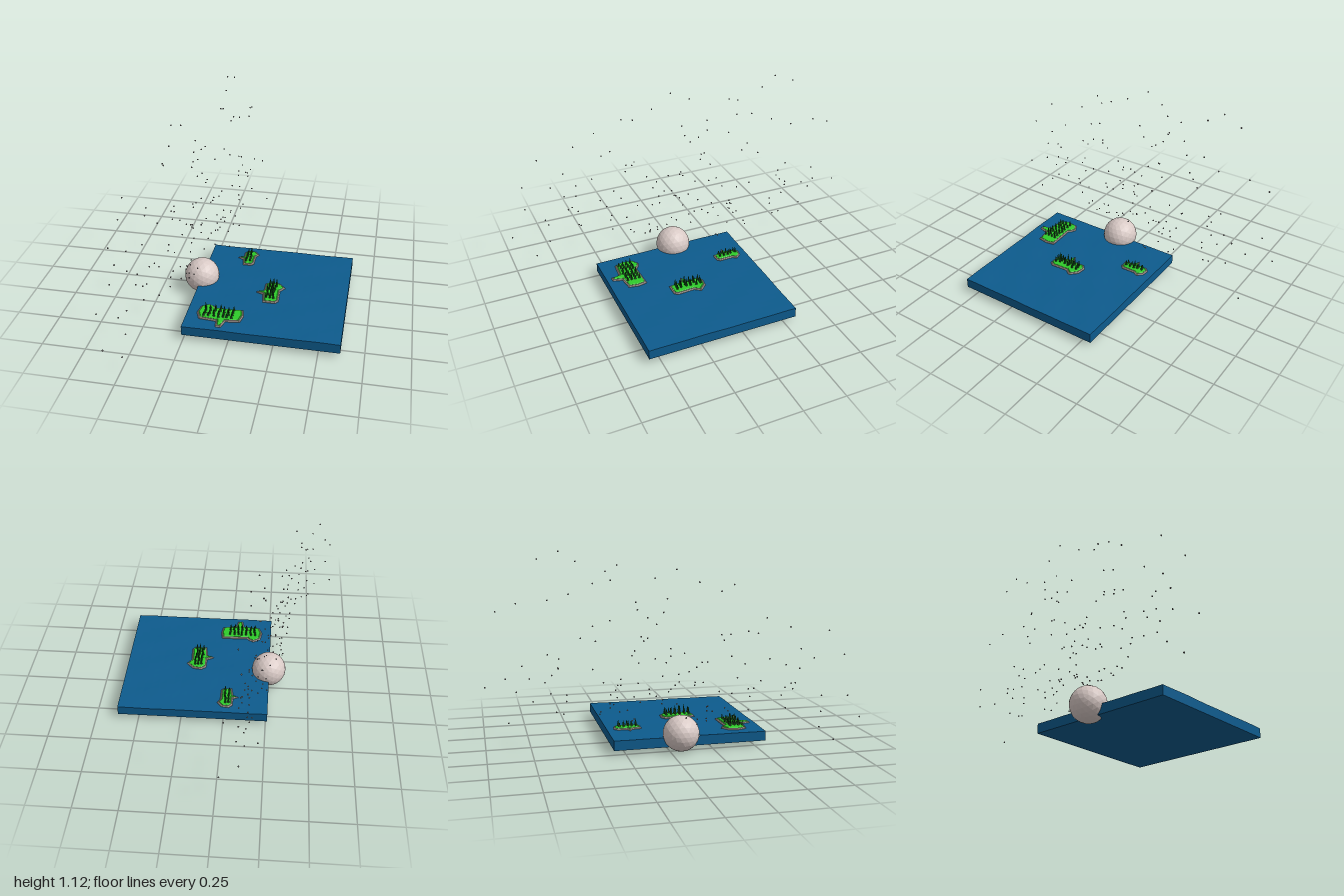
import * as THREE from 'three';

const flat = (color) => new THREE.MeshStandardMaterial({ color, flatShading: true });
const WATER = flat(0x0d5b8d), MOON = flat(0xd8c9c5), SAND = flat(0x9a8d88);
const GRASS = flat(0x2ecc2a), LEAF = flat(0x0d5216), BARK = flat(0x4a3020), STAR = flat(0x8a8585);

function add(parent, name, geometry, material, x = 0, y = 0, z = 0) {
  const mesh = new THREE.Mesh(geometry, material);
  mesh.name = name;
  mesh.position.set(x, y, z);
  parent.add(mesh);
  return mesh;
}

function seeded(seed) {
  return () => {
    seed = (seed * 16807) % 2147483647;
    return seed / 2147483647;
  };
}

// Square slab of sea with a faintly rippled top
function waterGeometry() {
  const g = new THREE.BoxGeometry(0.88, 0.056, 0.88, 20, 1, 20);
  const p = g.attributes.position;
  for (let i = 0; i < p.count; i++) {
    if (p.getY(i) < 0) continue;
    const x = p.getX(i), z = p.getZ(i);
    p.setY(i, 0.028 + 0.0015 * Math.sin(x * 17 + z * 6) * Math.cos(z * 19 - x * 5));
  }
  g.computeVertexNormals();
  return g;
}

// Sloped plate from an [x, z] outline, pulled in by inset
function plate(outline, height, inset, slope) {
  const shape = new THREE.Shape(outline.map(([x, z]) => new THREE.Vector2(x, -z)));
  const g = new THREE.ExtrudeGeometry(shape, {
    depth: 0.004, bevelEnabled: true, bevelSegments: 1,
    bevelThickness: height, bevelSize: slope, bevelOffset: -inset - slope,
  });
  return g.rotateX(-Math.PI / 2);
}

// Conifer: trunk and three stacked cones
const TRUNK = new THREE.CylinderGeometry(0.0015, 0.002, 0.012, 5);
const TIERS = [0, 1, 2].map((i) => new THREE.ConeGeometry(0.0085 - i * 0.002, 0.018, 6));
function makeTree(parent, x, z, scale) {
  const tree = new THREE.Group();
  tree.name = 'tree';
  add(tree, 'trunk', TRUNK, BARK, 0, 0.006, 0);
  TIERS.forEach((g, i) => add(tree, 'foliage', g, LEAF, 0, 0.016 + i * 0.01, 0));
  tree.position.set(x, 0.093, z);
  tree.scale.set(0.9, scale, 0.9);
  parent.add(tree);
}

// Islands: coast outline and a grid of trees (x range, z range, columns, rows, height)
const ISLANDS = [
  {
    outline: [[-0.2, 0.42], [-0.19, 0.36], [-0.15, 0.335], [-0.12, 0.35], [-0.11, 0.365], [0.05, 0.36], [0.06, 0.41],
      [0.05, 0.465], [-0.03, 0.475], [-0.045, 0.53], [-0.07, 0.53], [-0.08, 0.48], [-0.18, 0.47]],
    x: [-0.155, 0.005], z: [0.385, 0.455], cols: 7, rows: 4, height: 0.8,
  },
  {
    outline: [[0.095, 0.16], [0.135, 0.14], [0.135, 0.07], [0.16, 0.05], [0.21, 0.055], [0.25, 0.095], [0.225, 0.13],
      [0.23, 0.23], [0.215, 0.25], [0.145, 0.25], [0.135, 0.175]],
    x: [0.162, 0.198], z: [0.08, 0.225], cols: 3, rows: 6, height: 1.25,
  },
  {
    outline: [[-0.08, -0.19], [-0.05, -0.2], [-0.05, -0.255], [-0.03, -0.275], [0.01, -0.27], [0.035, -0.24],
      [0.02, -0.215], [0.02, -0.135], [0.005, -0.12], [-0.04, -0.12], [-0.05, -0.175]],
    x: [-0.025, -0.008], z: [-0.245, -0.145], cols: 2, rows: 5, height: 0.85,
  },
];

// Outer stars [x, y, z] that frame the sky
const OUTER_STARS = [
  [-0.23, 1.12, -0.6], [-0.43, 1.03, -0.01], [-0.22, 1.065, -0.51], [-0.21, 1.08, -0.71], [-0.19, 1.04, -0.28],
  [-0.22, 1.01, -0.35], [-0.405, 0.985, -0.12], [-0.385, 0.94, 0.32], [-0.415, 0.91, 0.24], [-0.15, 0.955, -0.31],
  [-0.155, 0.94, -0.41], [-0.145, 0.885, -0.54], [-0.13, 0.84, -0.82], [-0.105, 0.85, -0.65], [-0.14, 0.8, -0.93],
  [-0.31, 0.865, -0.03], [-0.41, 0.96, 0.12], [-0.345, 0.855, -0.21], [-0.59, 0.785, 0.43], [-0.57, 0.73, 0.57],
  [-0.545, 0.7, 0.8], [-0.505, 0.6, 0.66], [-0.51, 0.56, 0.91], [-0.475, 0.54, 0.75], [-0.445, 0.48, 0.68],
  [-0.616, 0.44, 0.56], [-0.605, 0.355, 0.89], [-0.475, 0.33, 0.8], [-0.545, 0.215, 0.996], [-0.535, 0.255, 0.77],
  [-0.495, 0.08, 0.87], [-0.5, 0.16, 0.78], [-0.13, 0.39, -0.996], [-0.22, 0.45, -0.89], [-0.04, 0.48, -0.79],
  [-0.15, 0.36, -0.83], [-0.02, 0.155, -0.87],
];

export function createModel() {
  const model = new THREE.Group();
  model.name = 'seaAtNight';

  add(model, 'sea', waterGeometry(), WATER, 0.18, 0.055, 0.123);
  add(model, 'moon', new THREE.IcosahedronGeometry(0.103, 3), MOON, -0.257, 0.103, 0.063);

  const rand = seeded(41);
  for (const { outline, x, z, cols, rows, height } of ISLANDS) {
    const island = new THREE.Group();
    island.name = 'island';
    add(island, 'shore', plate(outline, 0.005, -0.003, 0.006), SAND, 0, 0.082, 0);
    add(island, 'grass', plate(outline, 0.003, 0.007, 0.004), GRASS, 0, 0.0885, 0);
    for (let i = 0; i < cols; i++) {
      for (let j = 0; j < rows; j++) {
        const tx = THREE.MathUtils.lerp(x[0], x[1], i / (cols - 1)) + (rand() - 0.5) * 0.008;
        const tz = THREE.MathUtils.lerp(z[0], z[1], j / (rows - 1)) + (rand() - 0.5) * 0.008;
        makeTree(island, tx, tz, height * (0.75 + 0.45 * rand()));
      }
    }
    model.add(island);
  }

  // Stars: a leaning sheet, densest low down behind the moon
  const sky = new THREE.Group();
  sky.name = 'stars';
  const starGeometry = new THREE.IcosahedronGeometry(0.0045, 1);
  for (const [x, y, z] of OUTER_STARS) add(sky, 'star', starGeometry, STAR, x, y, z);
  for (let i = 0; i < 105; i++) {
    const angle = Math.PI * (0.06 + 0.88 * rand());
    const reach = 0.12 + 0.6 * rand();
    const z = -0.05 + reach * Math.cos(angle) * 1.1;
    const y = 0.13 + reach * Math.sin(angle);
    const x = -0.22 - 0.16 * y - 0.25 * z + (rand() - 0.5) * 0.14;
    add(sky, 'star', starGeometry, STAR, x, y, z);
  }
  model.add(sky);
  return model;
}
